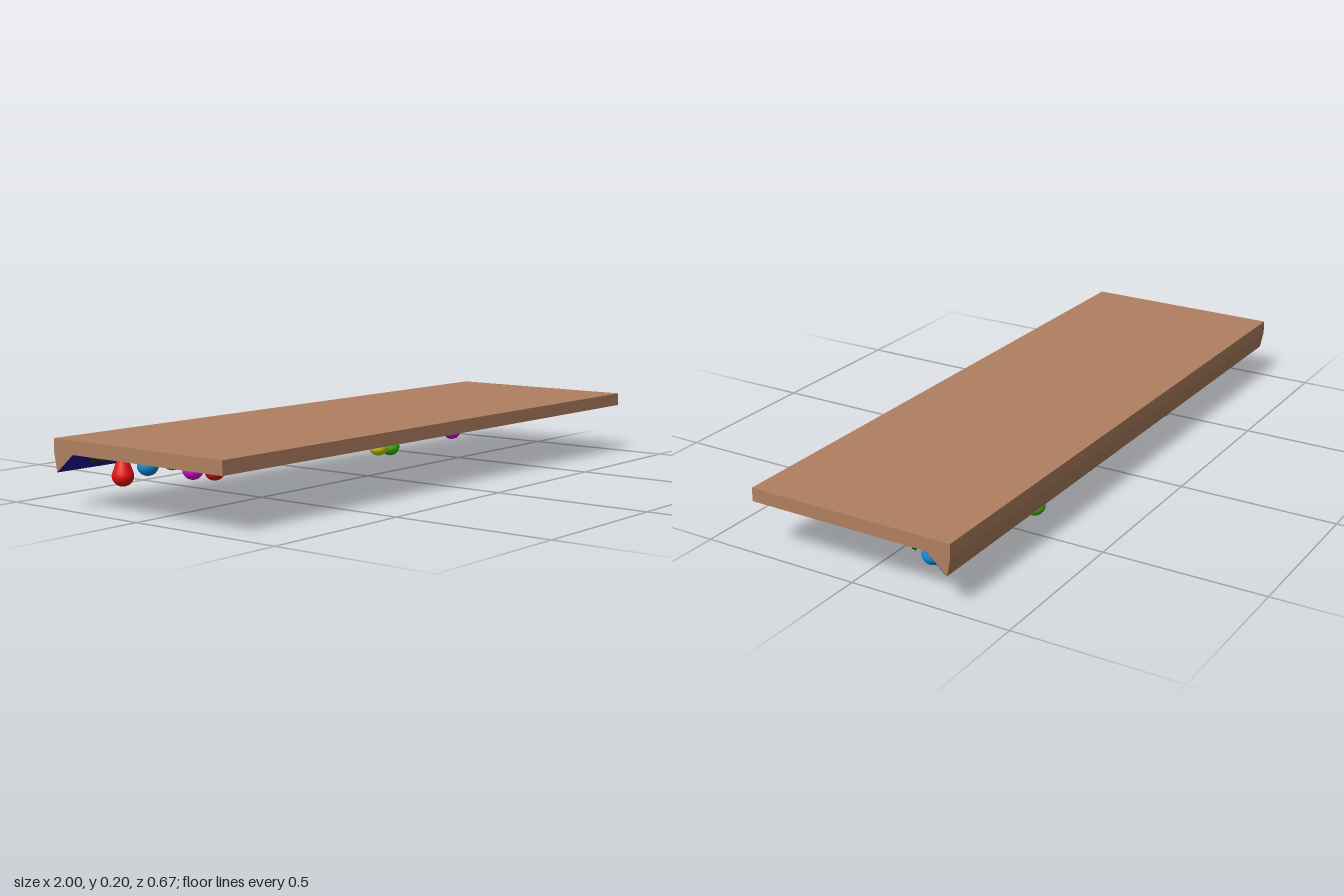
import * as THREE from 'three';

const mat = (name, color, side = THREE.FrontSide) => {
  const m = new THREE.MeshStandardMaterial({ color, side });
  m.name = name;
  return m;
};

export function createModel() {
  const model = new THREE.Group();
  model.name = 'shelfWithLights';
  const wood = mat('wood', 0xb08060);
  const navy = mat('navy', 0x26149a, THREE.DoubleSide);
  const wire = mat('darkGreenWire', 0x123312);
  const glass = {
    r: mat('red', 0xe61010),
    b: mat('blue', 0x1090da),
    g: mat('green', 0x3cb80e),
    m: mat('magenta', 0xd80fd8),
    y: mat('yellow', 0xd8d80c),
  };
  const add = (parent, name, geometry, material) => {
    const mesh = new THREE.Mesh(geometry, material);
    mesh.name = name;
    parent.add(mesh);
    return mesh;
  };

  // Board with a wedge-shaped lip under the back edge; profile is (-z, y)
  const shelf = new THREE.Group();
  shelf.name = 'shelf';
  shelf.rotation.y = -0.0055;
  model.add(shelf);
  const profile = new THREE.Shape([
    [-0.328, 0.163], [0.25, 0.163], [0.317, 0.108],
    [0.328, 0.163], [0.328, 0.204], [-0.328, 0.204],
  ].map(([x, y]) => new THREE.Vector2(x, y)));
  const board = new THREE.ExtrudeGeometry(profile, { depth: 1.996, bevelEnabled: false });
  board.translate(0, 0, -0.998).rotateY(Math.PI / 2);
  add(shelf, 'board', board, wood);

  // Painted inner slope of the lip
  const slope = add(shelf, 'lipFace', new THREE.PlaneGeometry(1.996, 0.0867), navy);
  slope.position.set(0, 0.1347, -0.2828);
  slope.rotation.x = Math.atan2(0.067, 0.055);

  // Bulbs: colour, x, bottom y, z
  const bulbs = [
    ['r', -0.826, 0.053, -0.238], ['b', -0.743, 0.075, -0.222], ['g', -0.647, 0.08, -0.218],
    ['m', -0.561, 0.04, -0.22], ['r', -0.473, 0.027, -0.215], ['y', -0.39, 0.037, -0.236],
    ['g', -0.31, 0.08, -0.22], ['b', -0.222, 0.075, -0.211], ['r', -0.136, 0.048, -0.217],
    ['m', -0.048, 0.035, -0.226], ['g', 0.045, 0.053, -0.206], ['b', 0.136, 0.075, -0.21],
    ['r', 0.227, 0.045, -0.198], ['y', 0.31, 0.013, -0.2], ['g', 0.393, 0.003, -0.214],
    ['m', 0.476, 0.043, -0.206], ['b', 0.553, 0.083, -0.19], ['r', 0.642, 0.053, -0.19],
    ['m', 0.735, 0.024, -0.198], ['g', 0.818, 0.04, -0.198], ['b', 0.898, 0.067, -0.199],
  ];
  const outline = new THREE.SplineCurve([
    [0, 0], [0.017, 0.005], [0.029, 0.018], [0.032, 0.034],
    [0.025, 0.056], [0.016, 0.078], [0.01, 0.1],
  ].map(([r, y]) => new THREE.Vector2(r, y))).getPoints(18);
  outline[0].x = 0;
  outline.push(new THREE.Vector2(0, 0.101));
  const drop = new THREE.LatheGeometry(outline, 20);
  const lights = new THREE.Group();
  lights.name = 'stringLights';
  model.add(lights);
  for (const [c, x, y, z] of bulbs) {
    add(lights, 'bulb', drop, glass[c]).position.set(x, y, z);
  }

  // Two wires twisted around a swagging centre line
  const swag = new THREE.CatmullRomCurve3([
    [-0.95, 0.143, -0.235],
    ...bulbs.map(([, x, y, z]) => [x, Math.min(0.152, 0.115 + (y - 0.003) * 0.6), z]),
    [0.99, 0.153, -0.2],
  ].map((p) => new THREE.Vector3(...p)));
  for (const phase of [0, Math.PI]) {
    const points = [];
    for (let i = 0; i <= 300; i++) {
      const a = phase + (i / 300) * Math.PI * 2 * 26;
      const p = swag.getPoint(i / 300);
      points.push(p.add(new THREE.Vector3(0, Math.cos(a) * 0.005, Math.sin(a) * 0.005)));
    }
    const path = new THREE.CatmullRomCurve3(points);
    add(lights, 'wire', new THREE.TubeGeometry(path, 400, 0.006, 6), wire);
  }
  return model;
}
